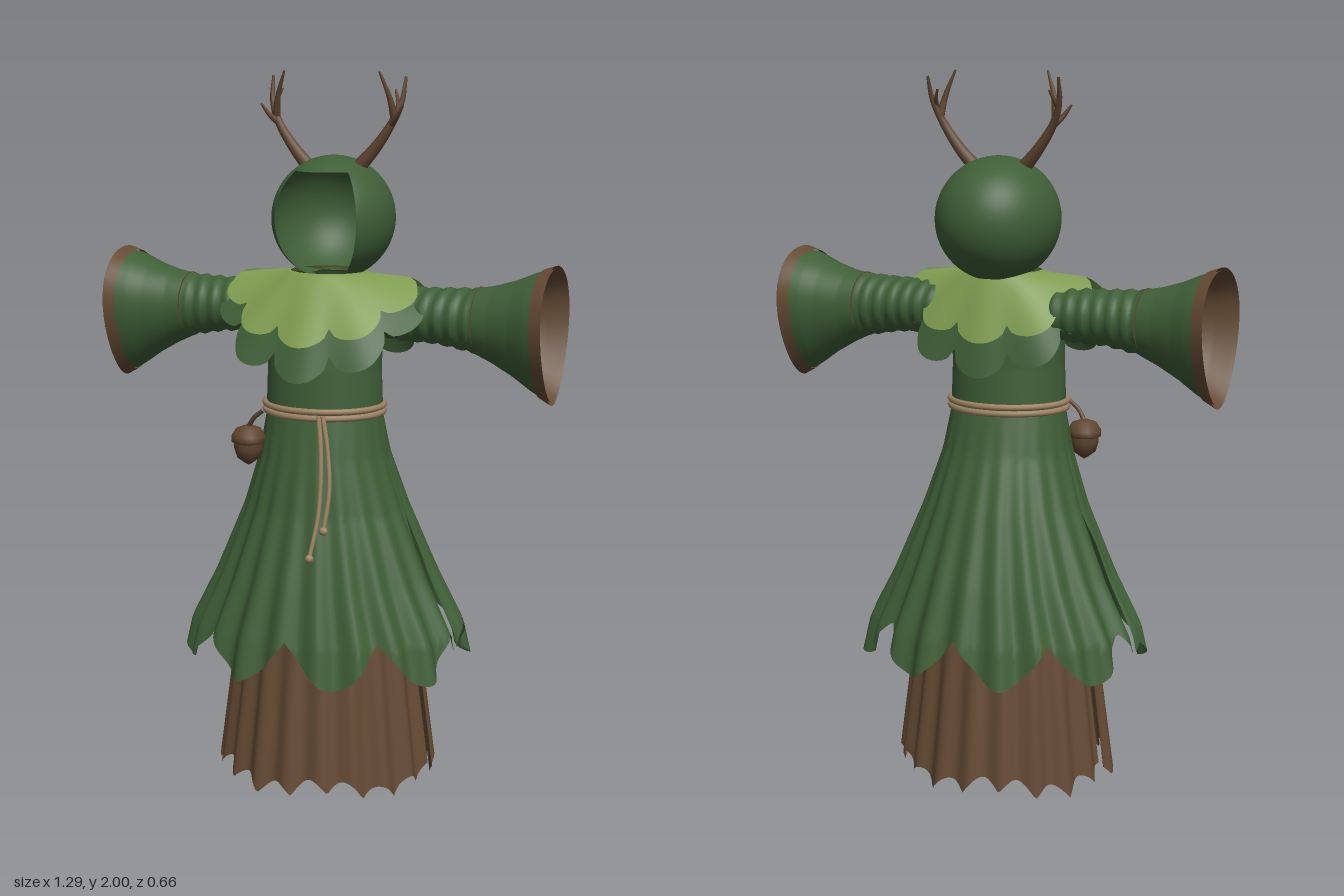
import * as THREE from 'three';
import { ParametricGeometry } from 'three/addons/geometries/ParametricGeometry.js';

const mat = (name, color, side = THREE.FrontSide) => {
  const m = new THREE.MeshStandardMaterial({ color, side });
  m.name = name;
  return m;
};
const green = mat('forest green cloth', 0x3f5f37, THREE.DoubleSide);
const leaf = mat('light leaf green', 0x7f9c50, THREE.DoubleSide);
const brown = mat('brown cloth', 0x654b34, THREE.DoubleSide);
const antlerBrown = mat('antler brown', 0x5f452f);
const tan = mat('tan rope', 0x9c8262);
const TAU = Math.PI * 2;

function add(parent, name, geometry, material) {
  const mesh = new THREE.Mesh(geometry, material);
  mesh.name = name;
  parent.add(mesh);
  return mesh;
}

// Surface from a rule (u, v) -> [x, y, z]
const surface = (rule, nu, nv) =>
  new ParametricGeometry((u, v, p) => p.set(...rule(u, v)), nu, nv);

// Linear interpolation in rows sorted by rising first entry
function sample(rows, k) {
  let i = 0;
  while (i < rows.length - 2 && k > rows[i + 1][0]) i++;
  const a = rows[i], b = rows[i + 1];
  const t = THREE.MathUtils.clamp((k - a[0]) / (b[0] - a[0]), 0, 1);
  return a.map((n, j) => n + (b[j] - n) * t);
}

// Tube along points that thins from r0 to r1
function taperedTube(points, r0, r1, segs = 16, sides = 8) {
  const curve = new THREE.CatmullRomCurve3(points.map(p => new THREE.Vector3(...p)));
  const geo = new THREE.TubeGeometry(curve, segs, r0, sides);
  const pos = geo.attributes.position, v = new THREE.Vector3();
  for (let i = 0; i < pos.count; i++) {
    const t = Math.floor(i / (sides + 1)) / segs;
    const c = curve.getPointAt(t);
    v.fromBufferAttribute(pos, i).sub(c).multiplyScalar(1 + (r1 / r0 - 1) * t).add(c);
    pos.setXYZ(i, v.x, v.y, v.z);
  }
  return geo;
}

// Half skirt with folds, a shaped hem and slits at both sides; dir -1 is the back
function skirtPanel({ rows, top, hem, slitTop, gap, folds, amp }, dir) {
  return surface((u, v) => {
    const a0 = (u - 0.5) * Math.PI;
    const y = top + (hem(a0) - top) * v;
    const [, rx, rz, cz] = sample(rows, y);
    const open = THREE.MathUtils.clamp((slitTop - y) / 0.08, 0, 1) * gap / rz;
    const a = a0 * (1 - open / (Math.PI / 2));
    const k = 1 + amp * Math.cos(a * folds + dir) * THREE.MathUtils.clamp((top - y) / 0.6, 0, 1);
    return [rx * k * Math.sin(a) * dir, y, cz + rz * k * Math.cos(a) * dir];
  }, 120, 32);
}

const overSkirt = {
  rows: [[0.34, 0.415, 0.335, 0], [0.45, 0.39, 0.315, 0], [0.6, 0.315, 0.275, 0.002],
    [0.8, 0.232, 0.215, 0.008], [0.95, 0.185, 0.172, 0.02], [1.08, 0.163, 0.14, 0.025]],
  top: 1.08, slitTop: 0.78, gap: 0.012, folds: 22, amp: 0.035,
  hem: a => 0.345 + 0.125 * (1 - Math.abs(Math.sin(a * 180 / 41))) ** 0.9,
};
const underSkirt = {
  rows: [[0, 0.315, 0.27, 0.007], [0.47, 0.255, 0.212, 0.006], [0.85, 0.19, 0.165, 0.01]],
  top: 0.85, slitTop: 0.7, gap: 0.014, folds: 20, amp: 0.03,
  hem: a => 0.012 + 0.04 * Math.abs(Math.sin(a * 9)) + 0.012 * Math.sin(a * 5),
};

// Torso outline: height, half width, half depth, centre z
const torsoRows = [[1.05, 0.167, 0.144, 0.025], [1.2, 0.162, 0.138, 0.025], [1.28, 0.165, 0.136, 0.02],
  [1.36, 0.155, 0.115, 0.005], [1.42, 0.125, 0.09, 0], [1.445, 0.095, 0.08, 0]];

// Sleeve outline: x, top, bottom, half depth
const sleeveRows = [[0.1, 1.4, 1.29, 0.07], [0.2, 1.42, 1.272, 0.078], [0.32, 1.42, 1.268, 0.078],
  [0.42, 1.425, 1.25, 0.08], [0.48, 1.435, 1.222, 0.09], [0.54, 1.453, 1.188, 0.108],
  [0.59, 1.474, 1.153, 0.128], [0.645, 1.492, 1.122, 0.143]];
function sleevePoint(x, a, grow) {
  const [, t, b, rz] = sample(sleeveRows, x);
  const egg = THREE.MathUtils.clamp((x - 0.42) / 0.22, 0, 1) * 0.25;
  const wrinkle = x < 0.43 ? 0.003 * Math.sin(x * 150 + Math.sin(a) * 2) : 0;
  const c = Math.cos(a), s = Math.sin(a);
  return [x, (t + b) / 2 + ((t - b) / 2 + grow + wrinkle) * c,
    -0.022 + (rz + grow + wrinkle) * s * (1 + egg * c - egg * 0.12)];
}
const sleeveShell = (x0, x1, grow, nv) =>
  surface((u, v) => sleevePoint(x0 + (x1 - x0) * v, u * TAU, grow), 40, nv);

// Shoulder cape draped over the arms, with a pointed edge
function cape(size, frontDrop, sideDrop, lift) {
  return surface((u, v) => {
    const a = u * TAU, c = Math.cos(a), s = Math.sin(a);
    const edge = 1 - 0.2 * (1 - Math.sqrt(Math.abs(Math.cos(a * 5))));
    const t = v * edge;
    const ripple = 1 + 0.025 * t * Math.cos(a * 10);
    const reach = (c > 0 ? 0.12 : 0.07) * size;
    return [s * (0.105 + 0.18 * size * t) * ripple,
      1.458 + lift - (sideDrop + frontDrop * Math.abs(c)) * t ** 1.2,
      c * (0.095 + reach * t) * ripple];
  }, 120, 14);
}

function buildArm() {
  const arm = new THREE.Group();
  add(arm, 'sleeve', sleeveShell(0.1, 0.615, 0, 48), green);
  add(arm, 'sleeveTrim', sleeveShell(0.612, 0.645, 0.004, 2), brown);
  add(arm, 'sleeveLining', sleeveShell(0.645, 0.43, -0.004, 16), brown);
  // inner cuff with its opening
  const cuff = new THREE.CylinderGeometry(0.055, 0.055, 0.1, 24, 1, true);
  add(arm, 'innerCuff', cuff.rotateZ(Math.PI / 2).translate(0.47, 1.35, -0.02), brown);
  const inner = new THREE.CircleGeometry(0.054, 24);
  add(arm, 'innerSleeve', inner.rotateY(Math.PI / 2).translate(0.47, 1.35, -0.02), green);
  const back = new THREE.RingGeometry(0.05, 0.09, 32);
  add(arm, 'sleeveBack', back.rotateY(Math.PI / 2).translate(0.435, 1.34, -0.022), brown);
  return arm;
}

function buildAntler() {
  const antler = new THREE.Group();
  const branch = (name, pts, r0, r1) => add(antler, name, taperedTube(pts, r0, r1), antlerBrown);
  branch('antlerBeam', [[0.07, 1.735, -0.035], [0.12, 1.79, -0.04], [0.168, 1.86, -0.045],
    [0.192, 1.92, -0.06], [0.197, 1.985, -0.078]], 0.021, 0.004);
  branch('antlerFork', [[0.175, 1.875, -0.047], [0.165, 1.93, -0.035], [0.14, 2.0, -0.022]], 0.012, 0.003);
  branch('antlerSpur', [[0.165, 1.855, -0.045], [0.188, 1.878, -0.03], [0.21, 1.91, -0.02]], 0.011, 0.003);
  branch('antlerNub', [[0.185, 1.9, -0.05], [0.178, 1.925, -0.065], [0.168, 1.95, -0.075]], 0.008, 0.003);
  return antler;
}

export function createModel() {
  const model = new THREE.Group();
  model.name = 'hoodedRobe';

  // Robe
  add(model, 'torso', surface((u, v) => {
    const y = 1.06 + 0.385 * v, a = u * TAU;
    const [, rx, rz, cz] = sample(torsoRows, y);
    return [rx * Math.sin(a), y, cz + rz * Math.cos(a)];
  }, 48, 24), green);
  for (const [side, dir] of [['front', 1], ['back', -1]]) {
    add(model, side + 'OverSkirt', skirtPanel(overSkirt, dir), green);
    add(model, side + 'UnderSkirt', skirtPanel(underSkirt, dir), brown);
  }
  add(model, 'lowerCape', cape(1.12, 0.235, 0.035, -0.012), green);
  add(model, 'upperCape', cape(1, 0.175, 0.012, 0), leaf);

  // Hood: open at the face and at the neck
  const hood = new THREE.Group();
  hood.name = 'hood';
  hood.position.set(0, 1.6, -0.04);
  hood.scale.set(0.17, 0.172, 0.19);
  add(hood, 'hoodShell', new THREE.SphereGeometry(1, 48, 32, Math.PI * 0.75, Math.PI * 1.5, 0, 2.75), green);
  add(hood, 'hoodBrow', new THREE.SphereGeometry(1, 16, 10, Math.PI * 0.25, Math.PI * 0.5, 0, 0.7), green);
  model.add(hood);

  // Mirrored arms and antlers
  for (const [side, sx] of [['left', 1], ['right', -1]]) {
    const arm = buildArm(), antler = buildAntler();
    arm.name = side + 'Arm';
    antler.name = side + 'Antler';
    arm.scale.x = antler.scale.x = sx;
    model.add(arm, antler);
  }

  // Rope belt, two turns, with knotted ends
  for (const y of [1.071, 1.089]) {
    const turn = add(model, 'ropeBelt', new THREE.TorusGeometry(1, 0.055, 8, 64).rotateX(Math.PI / 2), tan);
    turn.scale.set(0.168, 0.16, 0.15);
    turn.position.set(0, y, 0.026);
  }
  const ends = [
    [[0.045, 1.08, 0.178], [0.06, 0.97, 0.198], [0.065, 0.82, 0.228], [0.052, 0.7, 0.262]],
    [[0.058, 1.08, 0.178], [0.078, 0.98, 0.192], [0.09, 0.88, 0.212], [0.084, 0.775, 0.238]],
  ];
  for (const pts of ends) {
    add(model, 'ropeEnd', taperedTube(pts, 0.007, 0.006, 24), tan);
    add(model, 'ropeKnot', new THREE.SphereGeometry(0.012, 12, 8).translate(...pts[3]), tan);
  }

  // Acorn charm hanging from the belt
  const acorn = new THREE.Group();
  acorn.name = 'acornCharm';
  acorn.position.set(-0.19, 0.975, 0.125);
  const nut = [[0, -0.062], [0.012, -0.055], [0.032, -0.04], [0.041, -0.012], [0.04, 0.01]];
  const cap = [[0.04, 0.002], [0.048, 0.006], [0.048, 0.022], [0.035, 0.043], [0.012, 0.052], [0, 0.053]];
  const lathe = pts => new THREE.LatheGeometry(pts.map(p => new THREE.Vector2(...p)), 20);
  add(acorn, 'acornNut', lathe(nut), antlerBrown);
  add(acorn, 'acornCap', lathe(cap), antlerBrown);
  add(acorn, 'acornString', taperedTube([[0, 0.045, 0], [0.02, 0.075, 0.008], [0.05, 0.1, 0.01]], 0.007, 0.006), antlerBrown);
  model.add(acorn);

  return model;
}
